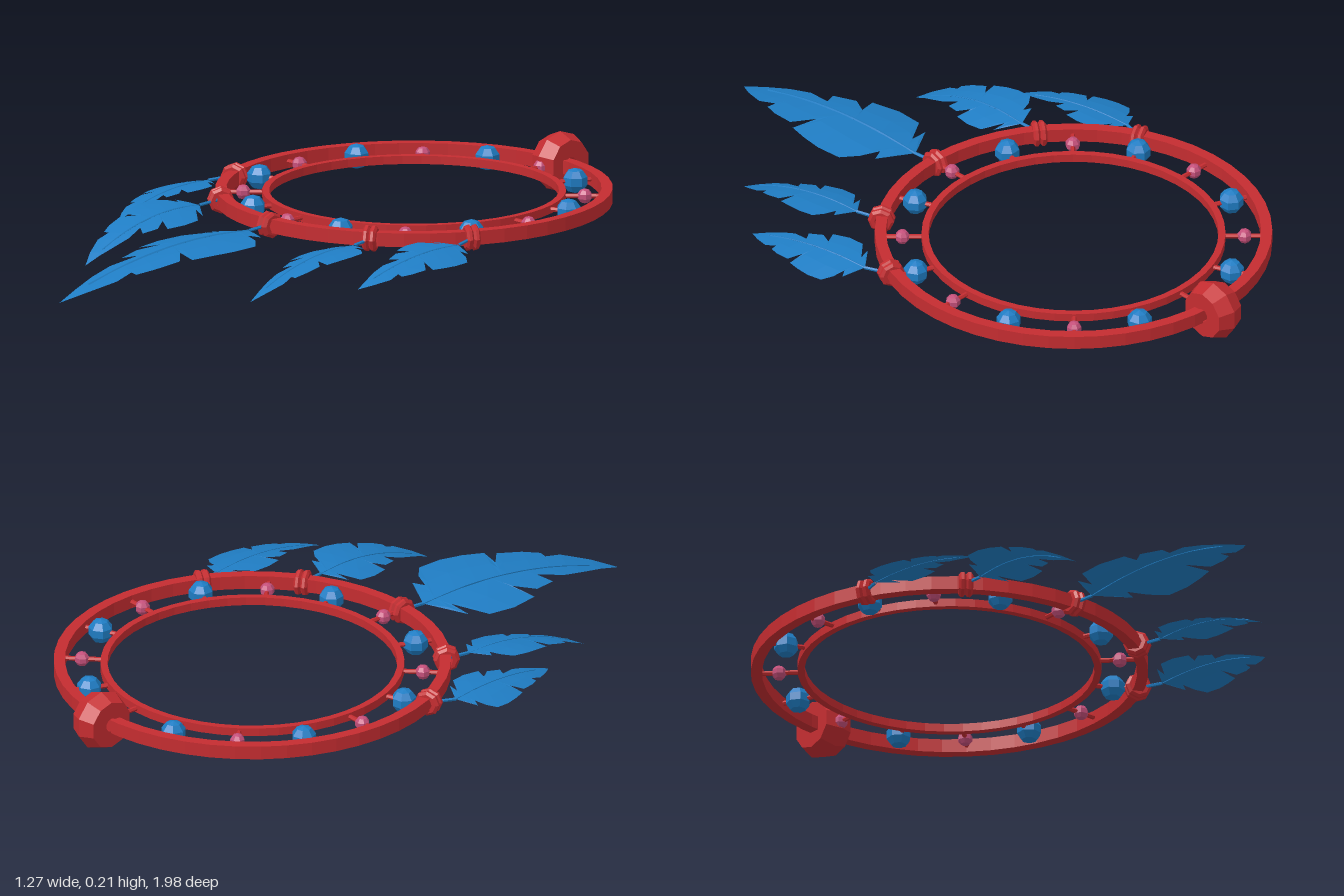
import * as THREE from 'three';

const mat = (name, color, opts = {}) => {
  const m = new THREE.MeshStandardMaterial({ color, flatShading: true, ...opts });
  m.name = name;
  return m;
};

const RING_Y = 0.11, RING_Z = -0.35;

// Closed loop profile of [radius, height] points spun around y
const spin = (pts, segments) =>
  new THREE.LatheGeometry([...pts, pts[0]].map(([r, y]) => new THREE.Vector2(r, y)), segments);

const hoopProfile = (inner, outer, h) => [[inner, -h], [outer, -h], [outer, h], [inner, h]];

// Feather edges as [x, distance along shaft]; the barbs slant back to the shaft
const RIGHT_EDGE = [[0.004, 0], [0.11, 0.05], [0.065, 0.07], [0.13, 0.09], [0.175, 0.13], [0.178, 0.21],
  [0.165, 0.28], [0.145, 0.345], [0.07, 0.325], [0.125, 0.375], [0.108, 0.455], [0.085, 0.505],
  [0.058, 0.5], [0.064, 0.56], [0.025, 0.64], [-0.02, 0.705]];
const LEFT_EDGE = [[-0.004, 0], [-0.115, 0.072], [-0.05, 0.06], [-0.143, 0.125], [-0.15, 0.21],
  [-0.132, 0.3], [-0.065, 0.275], [-0.103, 0.335], [-0.083, 0.41], [-0.038, 0.385],
  [-0.06, 0.475], [-0.052, 0.55], [-0.035, 0.63], [-0.02, 0.705]];

const shaftX = t => -0.02 * (t / 0.705) ** 2;
const bendY = (t, bend) => 0.1 * t - 0.34 * bend * t * t;

function featherGeometry(bend, roll) {
  const pos = [], index = [];
  const point = (x, t) => pos.push(x, bendY(t, bend) + roll * x - 0.6 * x * x, t);
  for (const edge of [RIGHT_EDGE, LEFT_EDGE]) {
    const start = pos.length / 3;
    let last = 0;
    edge.forEach(([x, t], i) => {
      const root = Math.max(last, t - 0.5 * Math.abs(x - shaftX(t)));
      last = root;
      const sx = shaftX(root);
      point(sx, root);
      point((sx + x) / 2, (root + t) / 2);
      point(x, t);
      if (i === 0) return;
      for (let k = 0; k < 2; k++) {
        const a = start + (i - 1) * 3 + k, b = a + 3;
        if (edge === RIGHT_EDGE) index.push(a, b, a + 1, a + 1, b, b + 1);
        else index.push(a, a + 1, b, a + 1, b + 1, b);
      }
    });
  }
  const g = new THREE.BufferGeometry();
  g.setAttribute('position', new THREE.Float32BufferAttribute(pos, 3));
  g.setIndex(index);
  g.computeVertexNormals();
  return g;
}

export function createModel() {
  const root = new THREE.Group();
  const red = mat('red', 0xc42c30);
  const blue = mat('blue', 0x1f7dc4);
  const pink = mat('pink', 0xc44f7a);
  const featherBlue = blue.clone();
  featherBlue.name = 'feather blue';
  featherBlue.side = THREE.DoubleSide;

  const add = (parent, name, geometry, material, x = 0, y = 0, z = 0) => {
    const m = new THREE.Mesh(geometry, material);
    m.name = name;
    m.position.set(x, y, z);
    parent.add(m);
    return m;
  };

  // Two concentric hoops
  add(root, 'outerHoop', spin(hoopProfile(0.533, 0.565, 0.02), 48), red, 0, RING_Y, RING_Z);
  add(root, 'innerHoop', spin(hoopProfile(0.412, 0.432, 0.012), 48), red, 0, RING_Y, RING_Z);

  // Group on the hoop: local x points outward, local z along the hoop
  const onHoop = (name, angle) => {
    const g = new THREE.Group();
    g.name = name;
    g.position.set(0, RING_Y, RING_Z);
    g.rotation.y = -angle;
    root.add(g);
    return g;
  };

  // Spokes threaded with alternating beads
  const spokeGeo = new THREE.CylinderGeometry(0.007, 0.007, 0.115, 6).rotateZ(Math.PI / 2);
  const bigBead = new THREE.SphereGeometry(0.037, 7, 5);
  const smallBead = new THREE.SphereGeometry(0.022, 7, 5);
  for (let i = 0; i < 16; i++) {
    const g = onHoop('spoke' + i, i * Math.PI / 8);
    add(g, 'spokeRod', spokeGeo, red, 0.482);
    if (i % 2) add(g, 'largeBead', bigBead, blue, 0.486);
    else add(g, 'smallBead', smallBead, pink, 0.486);
  }

  // Chunky bevelled knot at the back
  const knotGeo = spin([[0.02, -0.045], [0.07, -0.045], [0.088, 0], [0.07, 0.045], [0.02, 0.045]], 10)
    .rotateX(Math.PI / 2);
  add(onHoop('hangingKnot', -Math.PI / 2), 'knot', knotGeo, red, 0.56, 0.005);

  // Cord wraps: a pair of bevelled loops side by side
  const loopGeo = spin([[0.018, -0.01], [0.03, -0.01], [0.038, -0.004], [0.038, 0.004], [0.03, 0.01], [0.018, 0.01]], 8)
    .rotateX(Math.PI / 2);

  // Feathers: wrap angle, base x and z, size, yaw, bend, roll, mirror
  const feathers = [
    { a: 90, x: 0, z: 0.285, s: 1, yaw: 0, bend: 1, roll: 0.1, flip: 1 },
    { a: 55, x: 0.335, z: 0.185, s: 0.6, yaw: 0.1, bend: 1.3, roll: 0.15, flip: 1 },
    { a: 125, x: -0.325, z: 0.18, s: 0.61, yaw: -0.04, bend: 1.45, roll: -0.15, flip: -1 },
    { a: 25, x: 0.53, z: -0.04, s: 0.59, yaw: 0.11, bend: 1, roll: -0.13, flip: 1 },
    { a: 155, x: -0.53, z: -0.04, s: 0.55, yaw: 0.1, bend: 0.9, roll: 0.13, flip: -1 },
  ];
  feathers.forEach(({ a, x, z, s, yaw, bend, roll, flip }, i) => {
    const angle = a * Math.PI / 180;
    const wrap = onHoop('cordWrap' + i, angle);
    for (const side of [-1, 1]) add(wrap, 'cordLoop', loopGeo, red, 0.553, 0, side * 0.01);

    // Stem from the wrap to the feather, running on as a tapering shaft
    const from = new THREE.Vector3(Math.cos(angle) * 0.56, RING_Y, RING_Z + Math.sin(angle) * 0.56);
    const base = new THREE.Vector3(x, 0.105, z);
    add(root, 'stem' + i, new THREE.TubeGeometry(new THREE.LineCurve3(from, base), 1, 0.005, 5), blue);

    const g = new THREE.Group();
    g.name = 'feather' + i;
    g.position.copy(base);
    g.rotation.y = yaw;
    g.scale.setScalar(s);
    root.add(g);
    const vane = featherGeometry(bend, roll * flip);
    if (flip < 0) {
      vane.scale(-1, 1, 1);
      const idx = vane.index.array;
      for (let k = 0; k < idx.length; k += 3) [idx[k], idx[k + 1]] = [idx[k + 1], idx[k]];
      vane.computeVertexNormals();
    }
    add(g, 'vane', vane, featherBlue);
    const path = new THREE.CatmullRomCurve3([0, 0.15, 0.3, 0.45, 0.6].map(
      t => new THREE.Vector3(flip * shaftX(t), bendY(t, bend) + roll * flip * shaftX(t), t)));
    add(g, 'shaft', new THREE.TubeGeometry(path, 12, 0.004, 5), blue);
  });

  return root;
}
